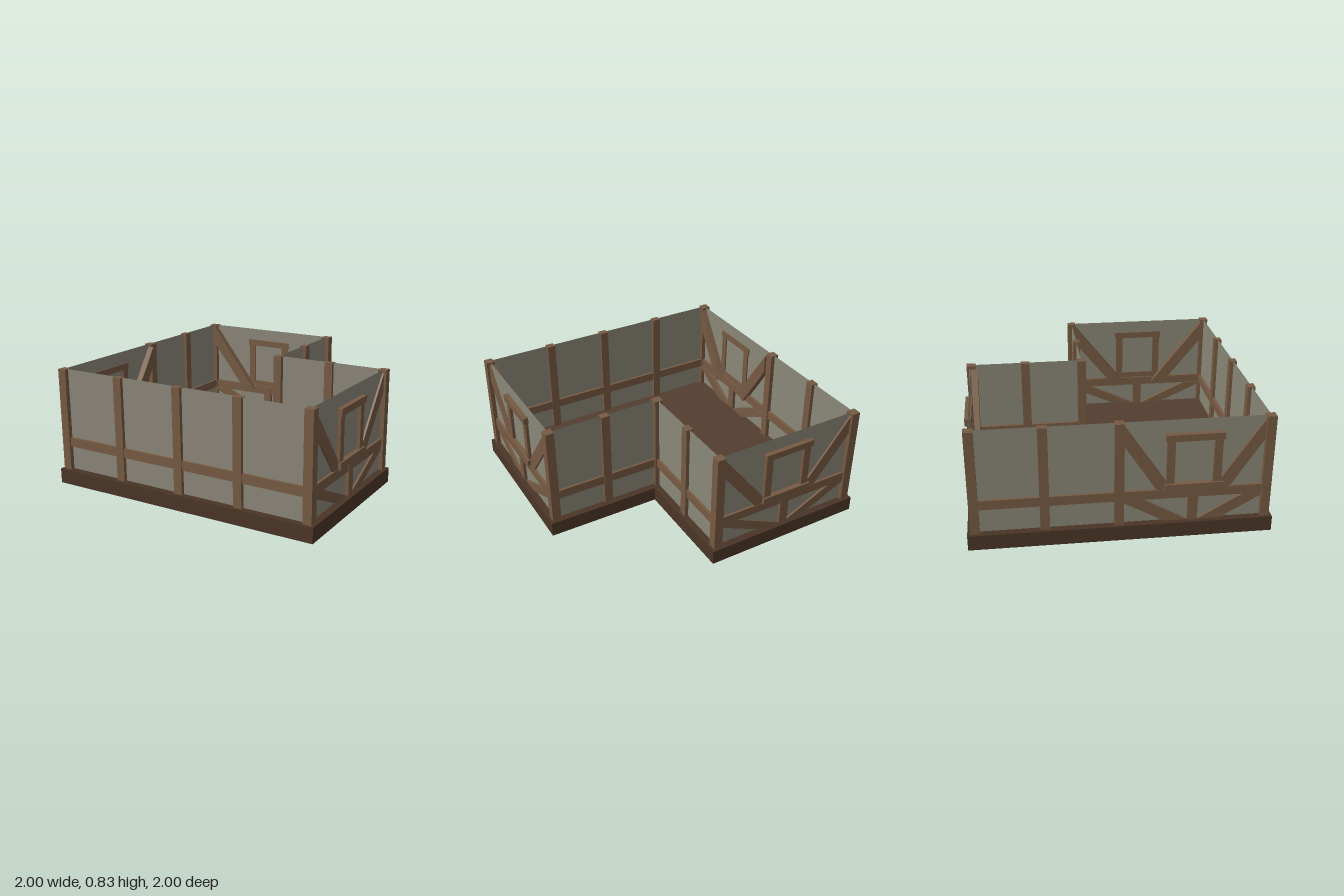
import * as THREE from 'three';

const FLOOR = 0.105, TOP = 0.83, RAIL_LOW = 0.275, RAIL_HIGH = 0.34, POST = 0.062;

const material = (color, side = THREE.FrontSide) =>
  new THREE.MeshStandardMaterial({ color, side, flatShading: true });
const wood = material(0x765a42);
const base = material(0x4a3526);
const boards = material(0x533e2f);
const plaster = material(0x8a8678, THREE.DoubleSide);

// Box given by its limits on each axis
function beam(parent, name, x0, x1, y0, y1, z0, z1, mat = wood) {
  const mesh = new THREE.Mesh(new THREE.BoxGeometry(x1 - x0, y1 - y0, z1 - z0), mat);
  mesh.position.set((x0 + x1) / 2, (y0 + y1) / 2, (z0 + z1) / 2);
  mesh.name = name;
  parent.add(mesh);
  return mesh;
}

function prism(parent, name, points, z0, z1, mat = wood) {
  const shape = new THREE.Shape(points.map(([x, y]) => new THREE.Vector2(x, y)));
  const geometry = new THREE.ExtrudeGeometry(shape, { depth: z1 - z0, bevelEnabled: false });
  geometry.translate(0, 0, z0);
  const mesh = new THREE.Mesh(geometry, mat);
  mesh.name = name;
  parent.add(mesh);
  return mesh;
}

// Wall from a to b: local x runs along it, local z points outdoors
function makeWall(name, [ax, az], [bx, bz]) {
  const wall = new THREE.Group();
  wall.name = name;
  wall.position.set(ax, 0, az);
  wall.rotation.y = Math.atan2(az - bz, bx - ax);
  const length = Math.hypot(bx - ax, bz - az);
  const panel = new THREE.Mesh(new THREE.PlaneGeometry(length, TOP - FLOOR), plaster);
  panel.name = 'plasterPanel';
  panel.position.set(length / 2, (TOP + FLOOR) / 2, 0);
  wall.add(panel);
  beam(wall, 'rail', 0.03, length - 0.03, RAIL_LOW, RAIL_HIGH, -0.022, 0.018);
  return { wall, length };
}

// Wall divided by upright posts
function postWall(name, a, b, posts) {
  const { wall } = makeWall(name, a, b);
  for (const x of posts)
    beam(wall, 'middlePost', x - POST / 2, x + POST / 2, FLOOR, TOP, -0.025, 0.025);
  return wall;
}

// Wall with a framed window and diagonal braces
function windowWall(name, a, b) {
  const { wall, length } = makeWall(name, a, b);
  const half = length / 2 - 0.03;
  const frame = new THREE.Group();
  frame.name = 'windowBay';
  frame.position.x = length / 2;
  wall.add(frame);
  beam(frame, 'lintel', -0.19, 0.19, 0.69, 0.737, -0.01, 0.035);
  beam(frame, 'sill', -0.19, 0.19, 0.335, 0.383, -0.01, 0.035);
  beam(frame, 'stud', -0.033, 0.033, FLOOR, 0.335, -0.024, 0.022);
  for (const s of [-1, 1]) {
    const jamb = [s * 0.127, s * 0.18].sort((p, q) => p - q);
    beam(frame, 'jamb', jamb[0], jamb[1], 0.383, 0.69, -0.01, 0.022);
    prism(frame, 'upperBrace',
      [[half, 0.81], [0.12, 0.31], [0.2, 0.277], [half, 0.67]].map(([x, y]) => [s * x, y]),
      -0.047, 0.015);
    prism(frame, 'lowerBrace',
      [[half, 0.276], [half - 0.12, 0.276], [0.035, FLOOR], [0.185, FLOOR], [half, 0.257]]
        .map(([x, y]) => [s * x, y]),
      -0.03, 0.015);
  }
  return wall;
}

export function createModel() {
  const model = new THREE.Group();
  model.name = 'timberFramedStorey';

  // L-shaped foundation and floor (shape y becomes -z)
  const outline = (i) => [[-1 + i, -1 + i], [1 - i, -1 + i], [1 - i, 0.2 - i],
    [0.18 - i, 0.2 - i], [0.18 - i, 1 - i], [-1 + i, 1 - i]];
  prism(model, 'foundation', outline(0), 0, FLOOR, base).rotation.x = -Math.PI / 2;
  prism(model, 'floor', outline(0.05), FLOOR - 0.01, FLOOR + 0.001, boards).rotation.x = -Math.PI / 2;

  // Corners, going round from the front left of the plan
  const corners = [[-0.95, 0.95], [0.95, 0.95], [0.95, -0.15], [0.13, -0.15],
    [0.13, -0.95], [-0.95, -0.95], [-0.95, -0.02]];
  const [A, B, C, D, E, F, G] = corners;
  model.add(
    postWall('frontWall', A, B, [0.475, 0.95, 1.405]),
    windowWall('leftWindowWall', B, C),
    postWall('wingRearWall', C, D, [0.41]),
    postWall('wingInnerWall', D, E, [0.41]),
    windowWall('backWindowWall', E, F),
    postWall('rightRearWall', F, G, [0.45]),
    windowWall('rightWindowWall', G, A),
  );
  const h = POST / 2;
  for (const [x, z] of corners)
    beam(model, 'cornerPost', x - h, x + h, FLOOR, TOP, z - h, z + h);
  return model;
}
